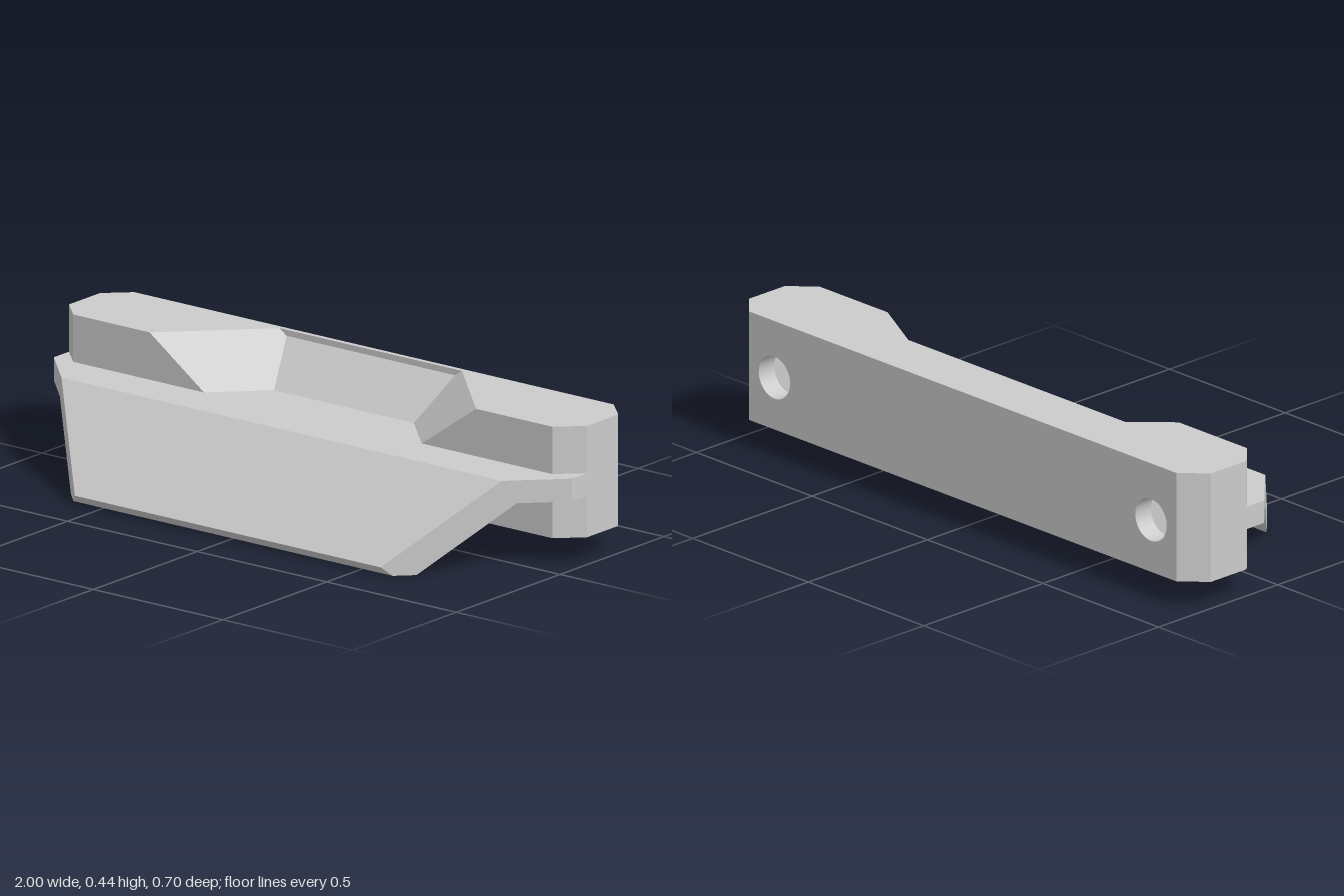
import * as THREE from 'three';
import { mergeGeometries } from 'three/addons/utils/BufferGeometryUtils.js';

const V = (x, y, z) => new THREE.Vector3(x, y, z);
const mirror = (pts) => pts.map((p) => V(-p.x, p.y, p.z)).reverse();
const sym = (half) => [...half, ...mirror(half)];

// Flat polygon in space (counter-clockwise seen from its front), with optional holes
function face(pts, holes = []) {
  const n = V(0, 0, 0);
  pts.forEach((p, i) => n.add(p.clone().cross(pts[(i + 1) % pts.length])));
  n.normalize();
  const u = pts[1].clone().sub(pts[0]).normalize();
  const v = n.clone().cross(u);
  const flat = (list) => list.map((p) => new THREE.Vector2(p.dot(u), p.dot(v)));
  const all = [pts, ...holes].flat();
  const tris = THREE.ShapeUtils.triangulateShape(flat(pts), holes.map(flat));
  const pos = [];
  for (const [a, b, c] of tris) {
    const A = all[a], B = all[b], C = all[c];
    const ok = B.clone().sub(A).cross(C.clone().sub(A)).dot(n) > 0;
    for (const p of ok ? [A, B, C] : [A, C, B]) pos.push(p.x, p.y, p.z);
  }
  const g = new THREE.BufferGeometry();
  g.setAttribute('position', new THREE.Float32BufferAttribute(pos, 3));
  g.computeVertexNormals();
  return g;
}
const both = (pts) => [face(pts), face(mirror(pts))];

// Main levels
const TOP = 0.437, BOTTOM = 0.086, PLATE_TOP = 0.288, PLATE_LOW = 0.216;
const FRONT = -0.057, BACK = -0.352;
// Screw hole and nut slot
const HOLE = { x: 0.815, y: 0.254, r: 0.068, end: -0.13 };
const SLOT = { x0: 0.718, x1: 0.919, z0: -0.287, z1: -0.18, top: 0.345 };

const circle = (s, z) => Array.from({ length: 32 }, (_, i) => {
  const a = (i / 32) * Math.PI * 2;
  return V(s * HOLE.x + HOLE.r * Math.cos(a), HOLE.y + HOLE.r * Math.sin(a), z);
});
const slotRing = (s, y) => [[SLOT.x0, SLOT.z0], [SLOT.x1, SLOT.z0], [SLOT.x1, SLOT.z1], [SLOT.x0, SLOT.z1]]
  .map(([x, z]) => V(s * x, y, z));

function blockGeometry() {
  const ends = [[0.925, FRONT], [1, -0.13], [1, -0.28], [0.925, BACK]];
  const lid = (y, inner) => sym([...inner, ...ends].map(([x, z]) => V(x, y, z)));
  const parts = [
    face(lid(TOP, [[0.352, -0.336], [0.63, FRONT]])),
    face(lid(BOTTOM, [[0.343, -0.336], [0.622, FRONT]]).reverse(), [slotRing(1, BOTTOM), slotRing(-1, BOTTOM)]),
    face(sym([V(-0.925, BOTTOM, BACK), V(-0.925, TOP, BACK)]), [circle(1, BACK), circle(-1, BACK)]),
  ];
  // chamfers and end walls
  for (let i = 0; i < 3; i++) {
    const [[x0, z0], [x1, z1]] = [ends[i], ends[i + 1]];
    parts.push(...both([V(x0, BOTTOM, z0), V(x1, BOTTOM, z1), V(x1, TOP, z1), V(x0, TOP, z0)]));
  }
  // front walls above and below the plate
  parts.push(...both([V(0.42, PLATE_TOP, FRONT), V(0.925, PLATE_TOP, FRONT), V(0.925, TOP, FRONT), V(0.63, TOP, FRONT)]));
  parts.push(...both([V(0.622, BOTTOM, FRONT), V(0.925, BOTTOM, FRONT), V(0.925, PLATE_LOW, FRONT), V(0.44, PLATE_LOW, FRONT)]));
  // upper pocket
  parts.push(...both([V(0.42, PLATE_TOP, FRONT), V(0.63, TOP, FRONT), V(0.352, TOP, -0.336),
    V(0.325, 0.418, -0.336), V(0.27, PLATE_TOP, -0.207)]));
  parts.push(face(sym([V(-0.325, 0.418, -0.336), V(-0.27, PLATE_TOP, -0.207)])));
  parts.push(face(sym([V(-0.352, TOP, -0.336), V(-0.325, 0.418, -0.336)])));
  // lower pocket
  parts.push(...both([V(0.44, PLATE_LOW, FRONT), V(0.29, PLATE_LOW, -0.207), V(0.343, BOTTOM, -0.336), V(0.622, BOTTOM, FRONT)]));
  parts.push(face(sym([V(-0.29, PLATE_LOW, -0.207), V(-0.343, BOTTOM, -0.336)])));
  return mergeGeometries(parts);
}

function plateGeometry() {
  // side section [z, y]; the ends are cut at 45 degrees in plan
  const section = [[FRONT, PLATE_TOP], [0.093, PLATE_TOP], [0.353, 0.028], [0.327, 0],
    [0.276, 0], [0.061, PLATE_LOW], [FRONT, PLATE_LOW]];
  const half = (z) => 0.943 - z;
  const parts = both(section.map(([z, y]) => V(half(z), y, z)));
  for (let i = 0; i < section.length - 1; i++) {
    const [[z0, y0], [z1, y1]] = [section[i], section[i + 1]];
    parts.push(face(sym([V(-half(z0), y0, z0), V(-half(z1), y1, z1)])));
  }
  // web between the two pockets
  parts.push(face(sym([V(-0.27, PLATE_TOP, -0.207), V(-0.42, PLATE_TOP, FRONT)])));
  parts.push(face(sym([V(-0.44, PLATE_LOW, FRONT), V(-0.29, PLATE_LOW, -0.207)])));
  // small corners filling the block's front chamfers
  const corner = (y) => [V(0.925, y, FRONT), V(1, y, FRONT), V(1, y, -0.13)];
  parts.push(...both(corner(PLATE_TOP)), ...both(corner(PLATE_LOW).reverse()));
  parts.push(...both([V(1, PLATE_LOW, FRONT), V(1, PLATE_LOW, -0.13), V(1, PLATE_TOP, -0.13), V(1, PLATE_TOP, FRONT)]));
  return mergeGeometries(parts);
}

// Nut slot walls and roof; the bore passes through the front and back walls
function slotGeometry(s) {
  const low = slotRing(s, BOTTOM), high = slotRing(s, SLOT.top);
  const walls = low.map((p, i) => {
    const j = (i + 1) % 4;
    const hole = i % 2 === 0 ? [circle(s, p.z)] : [];
    return face([p, low[j], high[j], high[i]], hole);
  });
  return mergeGeometries([...walls, face(high)]);
}

export function createModel() {
  const group = new THREE.Group();
  const solid = new THREE.MeshStandardMaterial({ color: 0xcccccc });
  const open = new THREE.MeshStandardMaterial({ color: 0xcccccc, side: THREE.DoubleSide });
  const add = (name, geometry, material) => {
    const m = new THREE.Mesh(geometry, material);
    m.name = name;
    group.add(m);
    return m;
  };
  add('mountingBlock', blockGeometry(), solid);
  add('slopedPlate', plateGeometry(), solid);

  for (const s of [1, -1]) {
    const side = s > 0 ? 'left' : 'right';
    add(side + 'NutSlot', slotGeometry(s), open);
    // screw hole bore on both sides of the nut slot, with a closed end
    for (const [z0, z1, name] of [[BACK, SLOT.z0, 'ScrewHole'], [SLOT.z1, HOLE.end, 'ScrewHoleTip']]) {
      const bore = new THREE.CylinderGeometry(HOLE.r, HOLE.r, z1 - z0, 32, 1, true).rotateX(Math.PI / 2);
      add(side + name, bore, open).position.set(s * HOLE.x, HOLE.y, (z0 + z1) / 2);
    }
    add(side + 'ScrewHoleEnd', new THREE.CircleGeometry(HOLE.r, 32), open).position.set(s * HOLE.x, HOLE.y, HOLE.end);
  }
  return group;
}
